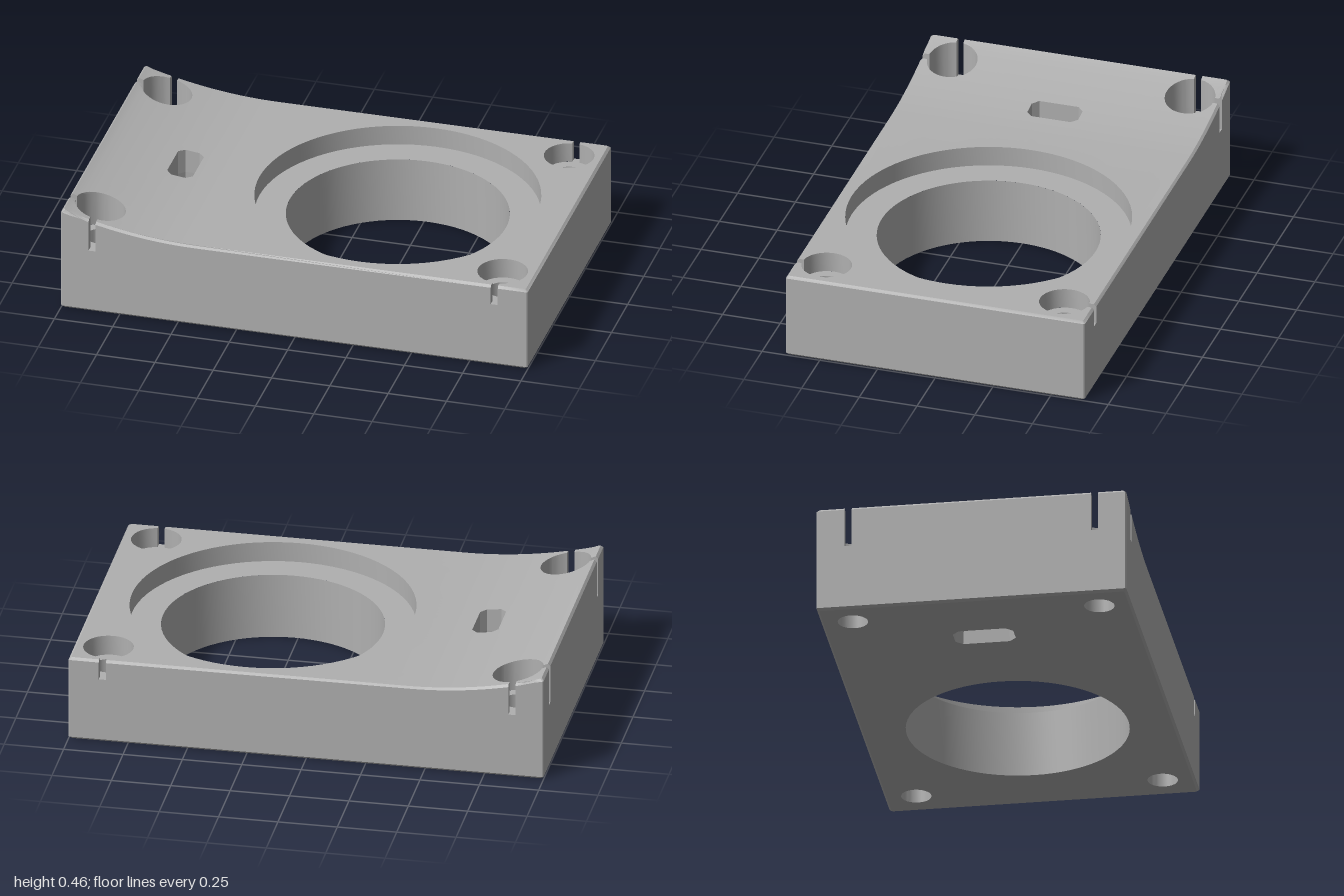
import * as THREE from 'three';
import { toCreasedNormals } from 'three/addons/utils/BufferGeometryUtils.js';

const HALF_Z = 0.648, TOP = 0.372, FLOOR = 0.285, EDGE = 0.01;
const SCREW_Z = 0.515, LEFT_X = -0.867, RIGHT_X = 0.857;
const POCKET_R = 0.105, SCREW_R = 0.063, SLOT = 0.015;
const BORE_X = 0.265, BORE_R = 0.463, RECESS_R = 0.593;
const VENT_X = -0.645;

// concave ramp rising towards the -x end
const ramp = x => (x < -0.42 ? 0.088 * ((-0.42 - x) / 0.58) ** 2 : 0);

const pt = (x, y) => new THREE.Vector2(x, y);
const arc = (cx, cy, r, a, b, n) => Array.from({ length: n + 1 }, (_, i) => {
  const t = a + (b - a) * i / n;
  return pt(cx + r * Math.cos(t), cy + r * Math.sin(t));
});
const circle = (cx, cy, r, n) => new THREE.Path(arc(cx, cy, r, 0, 2 * Math.PI, n).slice(0, -1));
const vent = () => {
  const w = 0.055, h = 0.11, c = 0.025;
  return new THREE.Path([[w - c, -h], [w, c - h], [w, h - c], [w - c, h], [c - w, h], [-w, h - c], [-w, c - h], [c - w, -h]]
    .map(([x, y]) => pt(VENT_X + x, y)));
};

// cut every triangle along the plane x = c
function slice(tris, c) {
  const out = [];
  for (const tri of tris) {
    for (const side of [-1, 1]) {
      const poly = [];
      tri.forEach((p, i) => {
        const q = tri[(i + 1) % 3];
        const dp = (p.x - c) * side, dq = (q.x - c) * side;
        if (dp >= 0) poly.push(p);
        if (dp * dq < 0) poly.push(p.clone().lerp(q, dp / (dp - dq)));
      });
      if (poly.every(p => Math.abs(p.x - c) < 1e-7) && side < 0) continue;
      for (let i = 2; i < poly.length; i++) out.push([poly[0], poly[i - 1], poly[i]]);
    }
  }
  return out;
}

// extrude a plan upwards, drop the cap hidden at the joint, then move vertices by a rule
function layer(shapes, height, hiddenY, cuts, rule) {
  const geo = new THREE.ExtrudeGeometry(shapes, { depth: height, steps: 2, bevelEnabled: false });
  geo.rotateX(-Math.PI / 2);
  const pos = geo.attributes.position;
  let tris = [];
  for (let i = 0; i < pos.count; i += 3) {
    const tri = [0, 1, 2].map(k => new THREE.Vector3().fromBufferAttribute(pos, i + k));
    if (!tri.every(p => Math.abs(p.y - hiddenY) < 1e-5)) tris.push(tri);
  }
  for (const c of cuts) tris = slice(tris, c);
  const points = tris.flat().map(p => rule(p.clone()));
  return toCreasedNormals(new THREE.BufferGeometry().setFromPoints(points), 0.6);
}

// pull the outer rim inwards for a small chamfer
function inset(p) {
  if (Math.abs(p.x) > 0.985) p.x -= Math.sign(p.x) * EDGE;
  if (Math.abs(p.z) > HALF_Z - 0.015) p.z -= Math.sign(p.z) * EDGE;
}

export function createModel() {
  const group = new THREE.Group();
  const grey = new THREE.MeshStandardMaterial({ color: 0xb0b0b0 });
  grey.name = 'grey';
  const add = (name, geo) => {
    const mesh = new THREE.Mesh(geo, grey);
    mesh.name = name;
    group.add(mesh);
    return mesh;
  };
  const H = HALF_Z, c = EDGE / 2, q = Math.PI / 2;
  const d = Math.asin(SLOT / POCKET_R);

  // lower plate with through holes
  const base = new THREE.Shape([pt(c - 1, -H), pt(1 - c, -H), pt(1, c - H), pt(1, H - c),
    pt(1 - c, H), pt(c - 1, H), pt(-1, H - c), pt(-1, c - H)]);
  base.holes.push(circle(BORE_X, 0, BORE_R, 72), vent());
  for (const x of [LEFT_X, RIGHT_X])
    for (const z of [-SCREW_Z, SCREW_Z]) base.holes.push(circle(x, z, SCREW_R, 32));
  add('lowerPlate', layer(base, FLOOR, FLOOR, [], p => {
    if (p.y < 1e-5) inset(p);
    else if (p.y < FLOOR - 0.01) p.y = EDGE;
    if (Math.abs(p.x - VENT_X) < 0.08 && Math.abs(p.z) < 0.15) { // vent flares downwards
      const k = 1 + 0.15 * (1 - p.y / FLOOR);
      p.x = VENT_X + (p.x - VENT_X) * k;
      p.z *= k;
    }
    return p;
  }));

  // upper plate: outline interrupted by screw pockets and their slots
  const pocket = (x, y, a, b) => arc(x, y, POCKET_R, a, b, 28);
  const upper = new THREE.Shape([
    pt(LEFT_X + SLOT, -H), pt(RIGHT_X - SLOT, -H),
    ...pocket(RIGHT_X, -SCREW_Z, -q - d, -5 * q + d),
    pt(RIGHT_X + SLOT, -H), pt(1 - c, -H), pt(1, c - H), pt(1, H - c), pt(1 - c, H), pt(RIGHT_X + SLOT, H),
    ...pocket(RIGHT_X, SCREW_Z, q - d, -3 * q + d),
    pt(RIGHT_X - SLOT, H), pt(LEFT_X + SLOT, H),
    ...pocket(LEFT_X, SCREW_Z, q - d, -2 * q + d),
    pt(-1, SCREW_Z - SLOT), pt(-1, SLOT - SCREW_Z),
    ...pocket(LEFT_X, -SCREW_Z, 2 * q - d, -q + d),
  ]);
  upper.holes.push(circle(BORE_X, 0, RECESS_R, 80), vent());

  // corner posts cut free by two slots each
  const post = [pt(LEFT_X - SLOT, -H), ...arc(LEFT_X, -SCREW_Z, POCKET_R, -q - d, -2 * q + d, 8),
    pt(-1, -SCREW_Z - SLOT), pt(-1, c - H), pt(c - 1, -H)];
  const posts = [new THREE.Shape(post), new THREE.Shape(post.map(p => pt(p.x, -p.y)).reverse())];

  const cuts = Array.from({ length: 14 }, (_, i) => -0.96 + i * 0.0415);
  const rise = TOP - FLOOR;
  add('upperPlate', layer([upper, ...posts], rise, 0, cuts, p => {
    const level = Math.round(p.y / rise * 2);
    const top = TOP + ramp(p.x);
    // slanted cuts can land between rings, so interpolate there
    const t = p.y / rise * 2;
    const ring = top - EDGE;
    p.y = t <= 1 ? FLOOR + (ring - FLOOR) * t : ring + EDGE * (t - 1);
    if (level === 2) inset(p);
    return p;
  }));

  // flat ledges at the bottom of the recess, pockets and slots
  const flat = (name, geo, x, z) => {
    geo.rotateX(-q);
    add(name, geo).position.set(x, FLOOR, z);
  };
  flat('boreLedge', new THREE.RingGeometry(BORE_R, RECESS_R, 80), BORE_X, 0);
  for (const s of [-1, 1]) {
    for (const x of [LEFT_X, RIGHT_X]) {
      flat('screwLedge', new THREE.RingGeometry(SCREW_R, POCKET_R, 32), x, s * SCREW_Z);
      const near = SCREW_Z + POCKET_R - 0.002;
      flat('slotFloor', new THREE.PlaneGeometry(2 * SLOT, H - near), x, s * (H + near) / 2);
    }
    const near = LEFT_X - POCKET_R + 0.002;
    flat('endSlotFloor', new THREE.PlaneGeometry(1 + near, 2 * SLOT), (near - 1) / 2, s * SCREW_Z);
  }
  return group;
}
